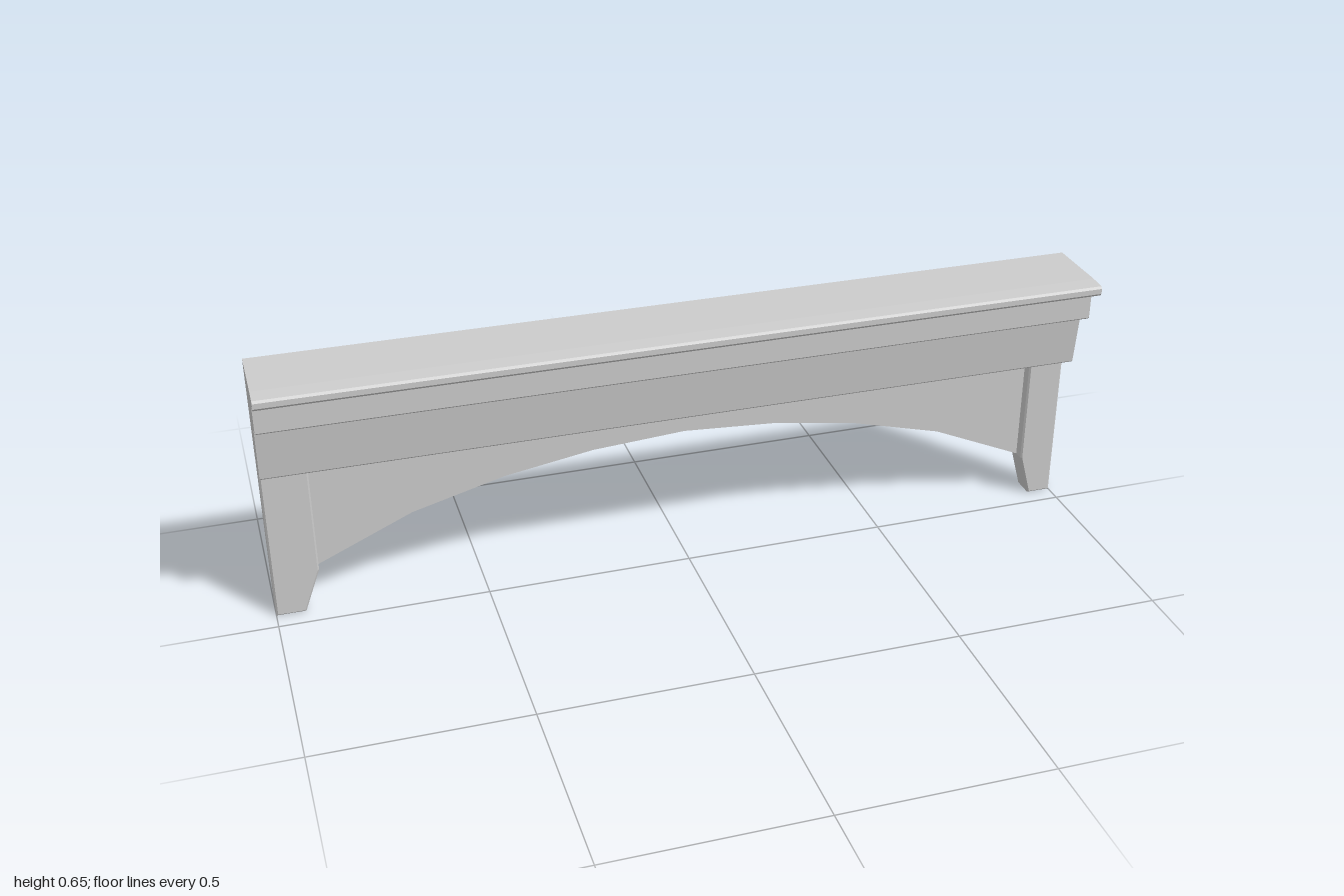
import * as THREE from 'three';

const material = new THREE.MeshStandardMaterial({ color: 0xcccccc, flatShading: true });

// Closed outline pushed along +z
function extrude(name, points, depth, bevel = 0) {
  const shape = new THREE.Shape(points.map(([x, y]) => new THREE.Vector2(x, y)));
  const geometry = new THREE.ExtrudeGeometry(shape, {
    depth: depth - 2 * bevel,
    bevelEnabled: bevel > 0,
    bevelSize: bevel,
    bevelThickness: bevel,
    bevelOffset: -bevel,
    bevelSegments: 1,
  });
  geometry.translate(0, 0, bevel);
  const mesh = new THREE.Mesh(geometry, material);
  mesh.name = name;
  return mesh;
}

export function createModel() {
  const group = new THREE.Group();
  group.name = 'mantelShelf';
  const back = -0.104;

  // Stepped shelf moulding: (z, y) profile running the full width
  const moulding = extrude('shelfMoulding', [
    [back, 0.396], [0, 0.396], [0.004, 0.4],
    [0.02, 0.54], [0.056, 0.54], [0.06, 0.544],
    [0.06, 0.614], [0.1, 0.621], [0.105, 0.627],
    [0.105, 0.64], [0.1, 0.645], [0.06, 0.648], [back, 0.648],
  ], 2);
  moulding.geometry.rotateY(-Math.PI / 2).translate(1, 0, 0);
  group.add(moulding);

  // End legs, tapered on the inside at the foot
  const legs = [
    ['rightLeg', -1, -0.93, -0.89],
    ['leftLeg', 1, 0.94, 0.91],
  ];
  for (const [name, outer, foot, inner] of legs) {
    const leg = extrude(name, [
      [outer, 0], [foot, 0], [inner, 0.108], [inner, 0.4], [outer, 0.4],
    ], 0.06, 0.004);
    leg.position.z = back;
    group.add(leg);
  }

  // Thin panel with a faceted arch, set back between the legs
  const half = [[0.9, 0.108], [0.67, 0.21], [0.445, 0.27], [0.228, 0.305]];
  const arch = [
    ...half.map(([x, y]) => [0.01 - x, y]),
    [0.01, 0.32],
    ...half.map(([x, y]) => [0.01 + x, y]).reverse(),
  ];
  const panel = extrude('archPanel', [...arch, [0.91, 0.4], [-0.89, 0.4]], 0.03);
  panel.position.z = back + 0.003;
  group.add(panel);

  return group;
}
